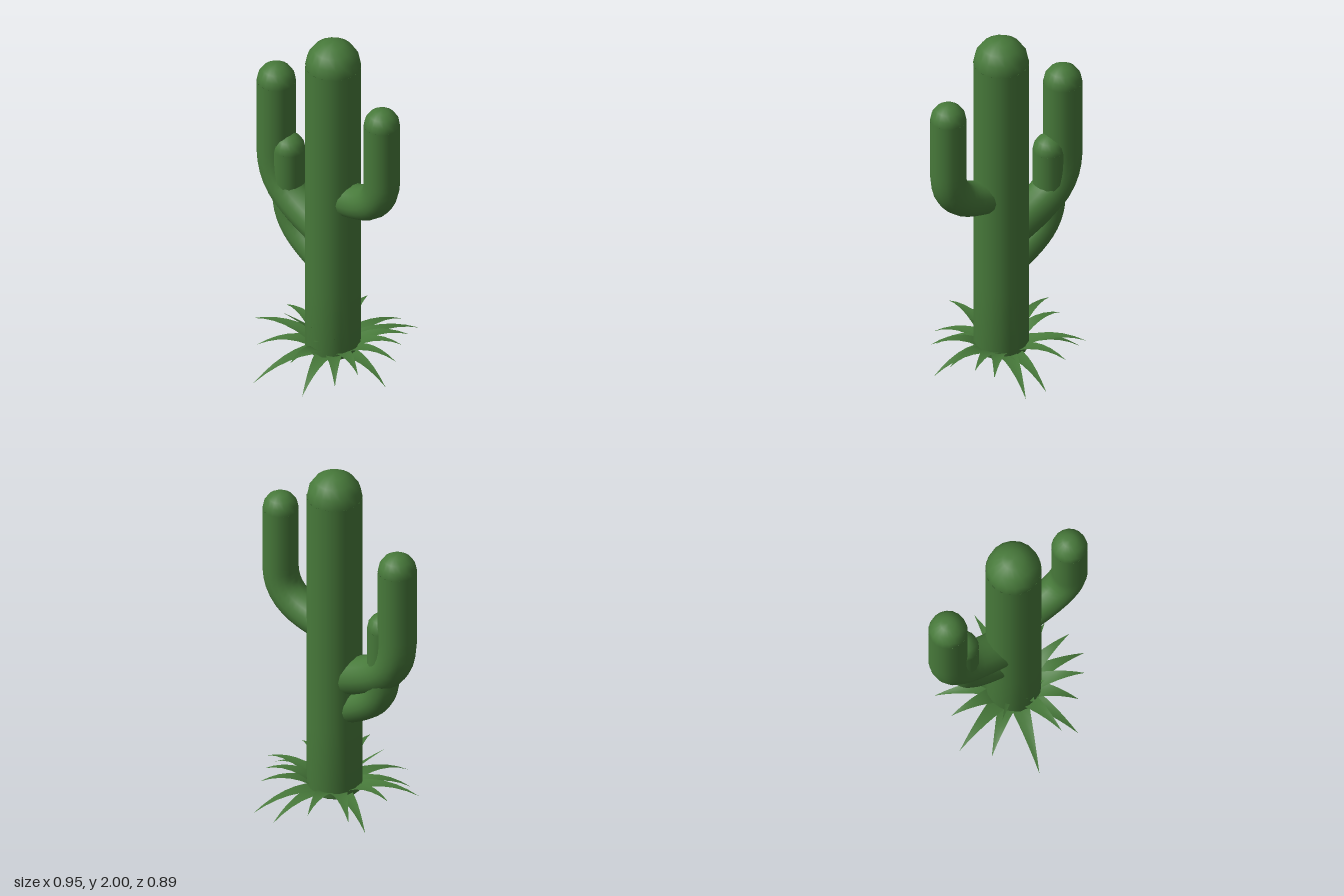
import * as THREE from 'three';

const TRUNK_X = 0.03;

export function createModel() {
  const model = new THREE.Group();
  const green = new THREE.MeshStandardMaterial({ color: 0x47793a, side: THREE.DoubleSide });
  green.name = 'cactusGreen';
  const V = (x, y, z = 0) => new THREE.Vector3(x, y, z);

  function add(parent, geometry, name) {
    const mesh = new THREE.Mesh(geometry, green);
    mesh.name = name;
    parent.add(mesh);
    return mesh;
  }

  // Trunk: straight column with a pointed foot
  const foot = [[0, 0.02], [0.06, 0.044], [0.118, 0.068], [0.145, 0.09], [0.145, 0.5], [0.145, 1.858]];
  const trunk = add(model, new THREE.LatheGeometry(foot.map(p => new THREE.Vector2(...p)), 18), 'trunk');
  trunk.position.x = TRUNK_X;

  // Half-sphere ends
  function addDome(parent, x, y, r, name) {
    const dome = add(parent, new THREE.SphereGeometry(r, 18, 4, 0, Math.PI * 2, 0, Math.PI / 2), name);
    dome.position.set(x, y, 0);
  }
  addDome(model, TRUNK_X, 1.858, 0.145, 'trunkTop');

  // Arms: a straight upright length, then a bend into the trunk
  function addArm(name, r, shoulder, bend) {
    const arm = new THREE.Group();
    arm.name = name;
    const pts = bend.map(p => V(...p));
    const path = new THREE.CurvePath();
    path.add(new THREE.LineCurve3(V(bend[0][0], shoulder), pts[0]));
    path.add(new THREE.CubicBezierCurve3(...pts));
    add(arm, new THREE.TubeGeometry(path, 20, r, 16), name + 'Stem');
    addDome(arm, bend[0][0], shoulder, r, name + 'Top');
    model.add(arm);
  }
  addArm('leftArm', 0.094, 1.651, [[0.38, 1.3], [0.38, 1.12], [0.24, 1.07], [0.05, 1.05]]);
  addArm('rightArm', 0.102, 1.56, [[-0.378, 1.14], [-0.378, 0.9], [-0.24, 0.87], [0, 0.77]]);
  addArm('smallRightArm', 0.086, 1.174, [[-0.288, 0.9], [-0.288, 0.7], [-0.17, 0.66], [0, 0.57]]);

  // Blade: a tapering, lightly creased strip arching from the trunk to its tip
  function bladeGeometry(tip, baseY, halfWidth, arch) {
    const out = V(tip.x - TRUNK_X, 0, tip.z).normalize();
    const side = V(-out.z, 0, out.x);
    const start = V(TRUNK_X, baseY, 0).addScaledVector(out, 0.08);
    const mid = start.clone().lerp(tip, 0.5);
    mid.y += arch;
    const curve = new THREE.QuadraticBezierCurve3(start, mid, tip);
    const positions = [], index = [], steps = 6;
    for (let i = 0; i <= steps; i++) {
      const t = i / steps;
      const p = curve.getPoint(t);
      const w = halfWidth * (1 - t);
      for (const s of [-1, 0, 1]) {
        const q = p.clone().addScaledVector(side, s * w);
        positions.push(q.x, q.y - (s === 0 ? w * 0.15 : 0), q.z);
      }
      if (i === steps) break;
      for (const k of [0, 1]) {
        const a = i * 3 + k, b = a + 1, c = a + 3, d = a + 4;
        index.push(a, b, c, b, d, c);
      }
    }
    const g = new THREE.BufferGeometry();
    g.setAttribute('position', new THREE.Float32BufferAttribute(positions, 3));
    g.setIndex(index);
    g.computeVertexNormals();
    return g;
  }

  const leaves = new THREE.Group();
  leaves.name = 'leaves';
  model.add(leaves);

  // Ring of drooping blades, by tip position
  const tips = [
    [0.09, 0.05, -0.447], [0.22, 0.06, -0.44], [0.3, 0.14, -0.28], [0.347, 0.15, -0.178],
    [-0.09, 0.14, -0.385], [-0.29, 0.13, -0.3], [-0.325, 0.03, -0.204],
    [-0.11, 0, 0.445], [-0.275, 0.06, 0.25], [-0.405, 0.11, 0.145],
    [0.08, 0.18, 0.37], [0.175, 0.02, 0.38], [0.275, 0.06, 0.24], [0.365, 0.14, 0.162],
    [0.445, 0.04, 0.04], [0.42, 0.14, -0.06], [-0.34, 0.14, -0.03],
  ];
  for (const t of tips) add(leaves, bladeGeometry(V(...t), 0.09, 0.054, 0.09), 'leaf');

  // Short steep blades that just break through the trunk
  const sprouts = [[-0.16, 0.285, 0.18, 0.02], [0.014, 0.275, 0.155, 0.02], [0.05, 0.195, 0.165, 0.06], [0.15, 0.235, 0.11, 0.03]];
  for (const [x, y, z, w] of sprouts) add(leaves, bladeGeometry(V(x, y, z), 0.16, w, 0.01), 'sprout');

  return model;
}
